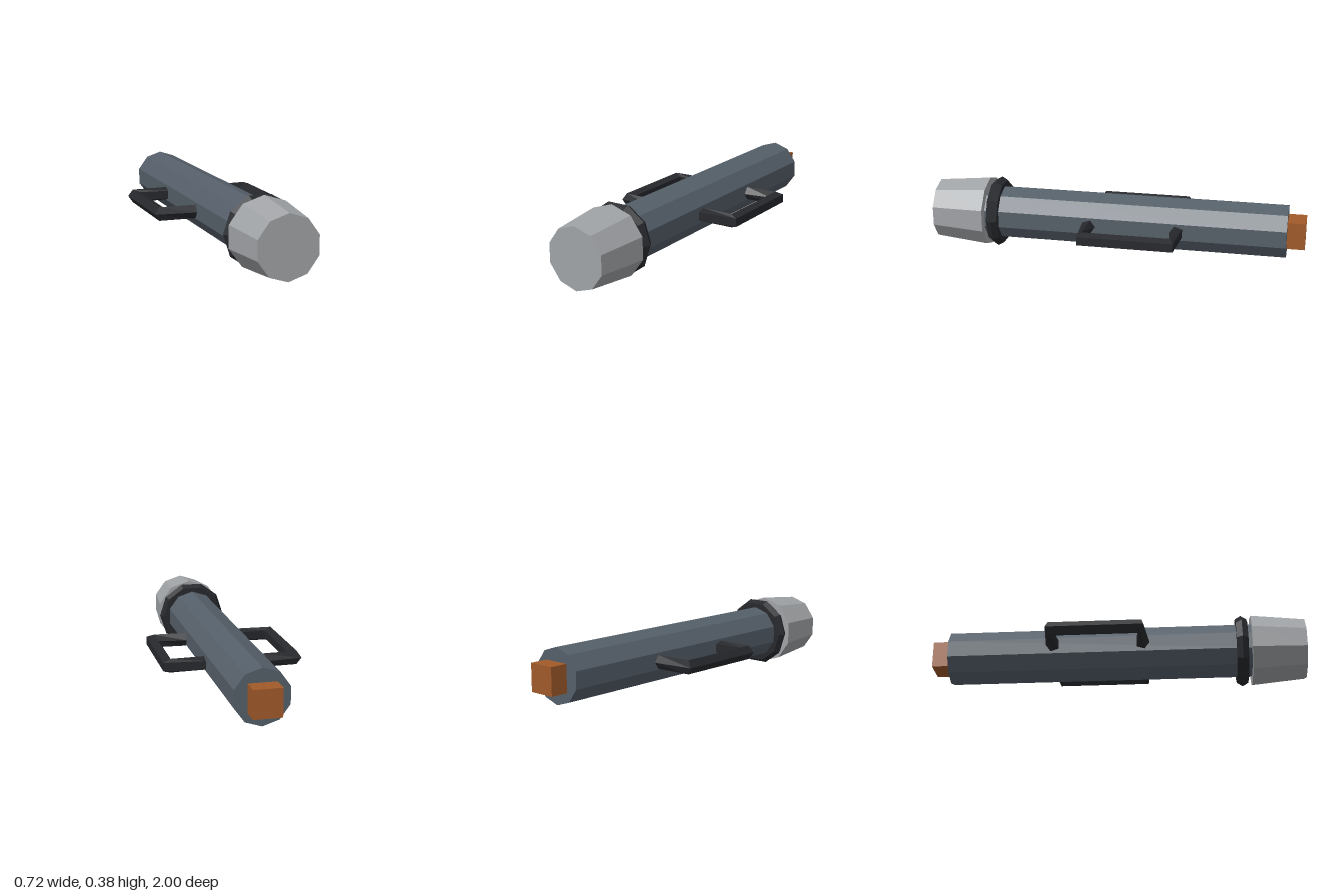
import * as THREE from 'three';

const AXIS_Y = 0.19;

const mat = (color, side = THREE.FrontSide) =>
  new THREE.MeshStandardMaterial({ color, flatShading: true, side });

// Ten-sided barrel section lying along z, with corners at top and bottom
function barrel(rFront, rBack, z0, z1) {
  const g = new THREE.CylinderGeometry(rFront, rBack, z1 - z0, 10);
  return g.rotateX(Math.PI / 2).translate(0, AXIS_Y, (z0 + z1) / 2);
}

// Five-sided bar swept through four cross-sections: end, corner, corner, end
function handleGeometry(side) {
  const r = 0.038, n = 5, zMid = -0.1, half = 0.237;
  const point = side < 0 ? 1 : -1; // the ridge faces -x on both handles
  // x of centre, z sign, section direction (x, z)
  const sections = [
    [0.145, -1, 0, 1],
    [0.331, -1, 0.91, 0.41],
    [0.331, 1, 0.91, 0.41],
    [0.145, 1, 0, 1],
  ];
  const pos = [], index = [];
  sections.forEach(([cx, sz, dx, dz], i) => {
    for (let j = 0; j < n; j++) {
      const a = (j / n) * Math.PI * 2;
      const d = r * Math.cos(a) * point;
      pos.push(side * (cx + dx * d), AXIS_Y + r * Math.sin(a), zMid + sz * (half + dz * d));
      if (i < 3) {
        const k = i * n + j, m = i * n + ((j + 1) % n);
        // both mirroring and the flipped ridge reverse the winding, cancelling out
        index.push(k, m, k + n, m, m + n, k + n);
      }
    }
  });
  const g = new THREE.BufferGeometry();
  g.setAttribute('position', new THREE.Float32BufferAttribute(pos, 3));
  g.setIndex(index);
  g.computeVertexNormals();
  return g;
}

export function createModel() {
  const model = new THREE.Group();
  const add = (name, geometry, material) => {
    const mesh = new THREE.Mesh(geometry, material);
    mesh.name = name;
    model.add(mesh);
  };
  const dark = mat(0x26282c);

  // Main tube and tapered front cap
  add('body', barrel(0.143, 0.143, -0.905, 0.73), mat(0x555f69));
  add('frontCap', barrel(0.162, 0.19, 0.715, 1), mat(0xa0a3a6));

  // Collar ring behind the cap
  add('collar', new THREE.TorusGeometry(0.155, 0.035, 6, 10).translate(0, AXIS_Y, 0.665), dark);

  // Block on the rear end
  add('rearBlock', new THREE.BoxGeometry(0.143, 0.143, 0.143).translate(0, AXIS_Y, -0.9285), mat(0xa05a2a));

  // Side handles
  const handleMat = mat(0x26282c, THREE.DoubleSide);
  add('leftHandle', handleGeometry(1), handleMat);
  add('rightHandle', handleGeometry(-1), handleMat);

  return model;
}
